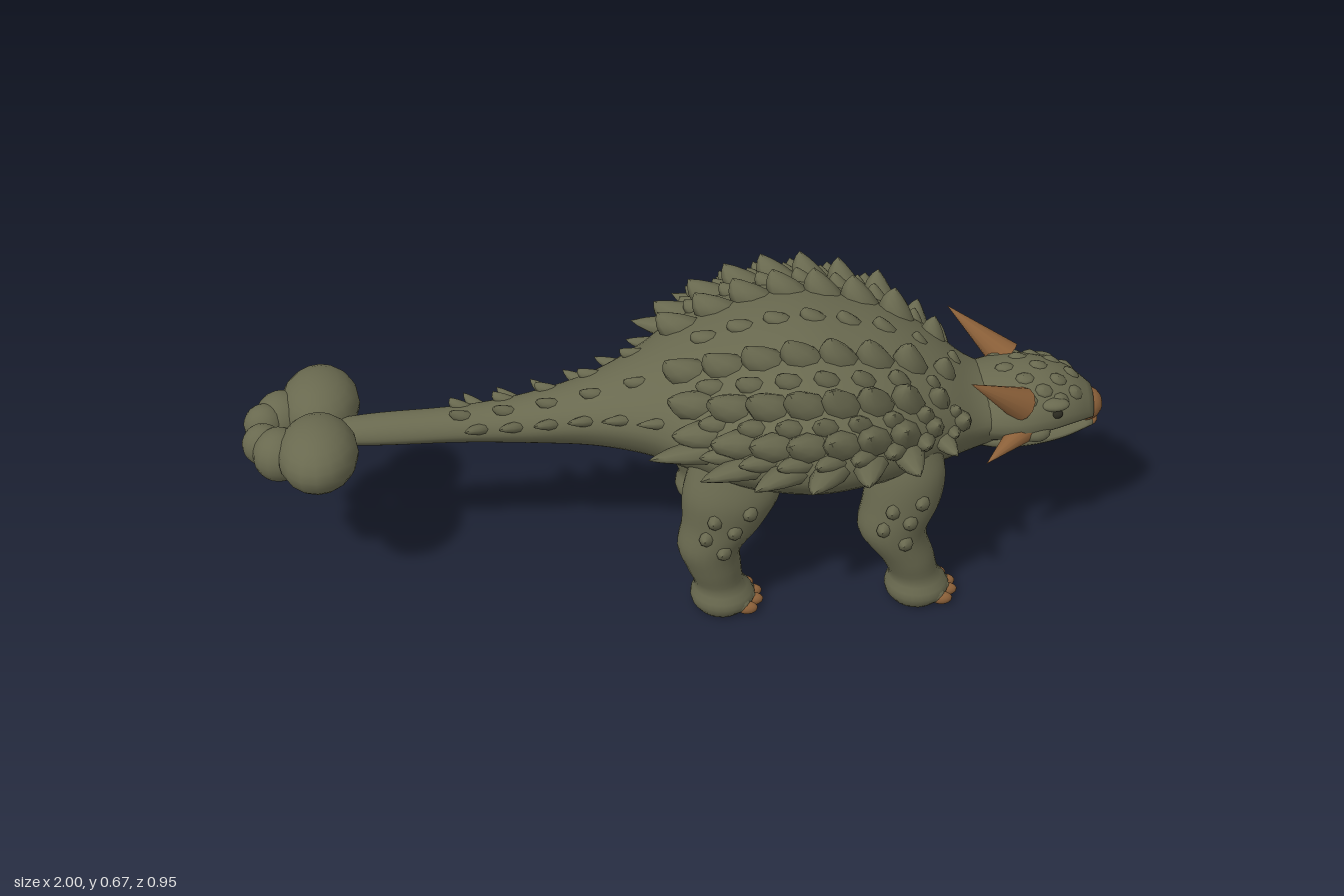
import * as THREE from 'three';
import { mergeGeometries, mergeVertices } from 'three/addons/utils/BufferGeometryUtils.js';

const V = (x, y, z) => new THREE.Vector3(x, y, z);

// Cross-sections along the length: x, widest height, top, bottom, half width
const BODY = [
  [-0.85, .375, .40, .35, .03], [-0.7, .375, .415, .345, .045], [-0.5, .38, .425, .342, .05],
  [-0.35, .39, .445, .335, .068], [-0.2, .41, .485, .325, .10], [-0.08, .43, .535, .31, .165],
  [0, .44, .57, .30, .245], [.1, .44, .605, .285, .33], [.2, .44, .63, .275, .37],
  [.3, .44, .637, .265, .38], [.4, .44, .62, .265, .355], [.5, .43, .59, .265, .30],
  [.6, .41, .535, .268, .215], [.68, .39, .475, .275, .145], [.76, .38, .44, .30, .11]];
const HEAD = [
  [.62, .38, .44, .31, .08], [.70, .38, .462, .30, .125], [.78, .38, .475, .315, .14],
  [.85, .38, .474, .328, .125], [.92, .375, .45, .335, .09], [.97, .36, .41, .335, .05]];
const JAW = [
  [.67, .32, .35, .285, .07], [.74, .32, .36, .283, .10], [.82, .32, .35, .29, .10],
  [.90, .32, .34, .296, .075], [.975, .325, .336, .31, .036]];
// Leg rings from the ground up: y, centre x, centre z, radius x, radius z
const HIND_LEG = [
  [0, .085, .22, .058, .062], [.02, .088, .22, .075, .075], [.045, .085, .22, .07, .073],
  [.065, .08, .222, .058, .06], [.12, .065, .225, .064, .067], [.18, .055, .23, .074, .071],
  [.25, .085, .23, .094, .075], [.33, .105, .225, .112, .083], [.42, .11, .21, .09, .07]];
const FRONT_LEG = [
  [0, .54, .22, .058, .062], [.02, .543, .22, .075, .075], [.045, .54, .22, .07, .073],
  [.065, .535, .222, .058, .06], [.12, .515, .224, .063, .067], [.2, .477, .228, .079, .073],
  [.28, .495, .225, .09, .077], [.36, .505, .215, .088, .08], [.43, .5, .2, .07, .07]];

// Smooth interpolation of a section table by its first column
function sectionAt(table, x) {
  let i = 0;
  while (i < table.length - 2 && x > table[i + 1][0]) i++;
  const a = table[i], b = table[i + 1], h = b[0] - a[0], t = (x - a[0]) / h;
  const p = table[i - 1] ?? a, n = table[i + 2] ?? b;
  return a.map((v, k) => {
    const m0 = (b[k] - p[k]) / (b[0] - p[0]) * h, m1 = (n[k] - v) / (n[0] - a[0]) * h;
    return v * (2 * t ** 3 - 3 * t * t + 1) + m0 * (t ** 3 - 2 * t * t + t)
      + b[k] * (3 * t * t - 2 * t ** 3) + m1 * (t ** 3 - t * t);
  });
}

// Point on a lengthwise part; angle 0 is the left flank, PI/2 the spine
function skin(table, x, a) {
  const [, mid, top, bot, w] = sectionAt(table, x), s = Math.sin(a);
  const pinch = s < 0 ? 1 + 0.18 * s : 1;
  return V(x, mid + s * (s > 0 ? top - mid : mid - bot), w * Math.cos(a) * pinch);
}

function legPoint(table, y, a) {
  const [, cx, cz, rx, rz] = sectionAt(table, y);
  return V(cx + rx * Math.cos(a), y, cz + rz * Math.sin(a));
}

// Closed tube through rings of surface points
function loft(table, point, rings, sides) {
  const pos = [], idx = [], from = table[0][0], to = table.at(-1)[0];
  const ends = [V(0, 0, 0), V(0, 0, 0)];
  for (let i = 0; i <= rings; i++) for (let j = 0; j < sides; j++) {
    const p = point(table, from + (to - from) * i / rings, j / sides * Math.PI * 2);
    pos.push(p.x, p.y, p.z);
    if (i === 0) ends[0].addScaledVector(p, 1 / sides);
    if (i === rings) ends[1].addScaledVector(p, 1 / sides);
  }
  ends.forEach(p => pos.push(p.x, p.y, p.z));
  const c = (rings + 1) * sides, last = rings * sides;
  for (let j = 0; j < sides; j++) {
    const k = (j + 1) % sides;
    for (let i = 0; i < rings; i++) {
      const a = i * sides + j, b = a + sides, d = i * sides + k, e = d + sides;
      idx.push(a, b, d, b, e, d);
    }
    idx.push(c, j, k, c + 1, last + k, last + j);
  }
  const g = new THREE.BufferGeometry();
  g.setAttribute('position', new THREE.Float32BufferAttribute(pos, 3));
  g.setIndex(idx);
  g.computeVertexNormals();
  return g;
}

// Unit armour scute, welded so it shades smoothly
function unitScute() {
  const profile = [[.9, -.3], [1, 0], [.72, .42], [.36, .76], [.001, 1]].map(p => new THREE.Vector2(...p));
  const g = new THREE.LatheGeometry(profile, 8);
  g.deleteAttribute('uv');
  g.deleteAttribute('normal');
  return mergeVertices(g, 1e-3);
}
const SCUTE = unitScute();

// Scute standing on a surface, its point swept toward the tail
function scute(p, n, len, width, height, lean) {
  const back = V(-1, 0, 0).addScaledVector(n, n.x).normalize();
  const side = back.clone().cross(n);
  const m = new THREE.Matrix4().makeBasis(back.clone().multiplyScalar(len),
    n.clone().multiplyScalar(height).addScaledVector(back, lean), side.multiplyScalar(width));
  const g = SCUTE.clone().applyMatrix4(m.setPosition(p));
  g.computeVertexNormals();
  return g;
}

function skinScute(table, x, deg, ...size) {
  const a = deg * Math.PI / 180, e = .01, p = skin(table, x, a);
  const n = skin(table, x + e, a).sub(skin(table, x - e, a))
    .cross(skin(table, x, a + e).sub(skin(table, x, a - e))).normalize();
  return scute(p, n, ...size);
}

function ball(p, rx, ry, rz) {
  return new THREE.SphereGeometry(1, 16, 12).scale(rx, ry, rz).translate(p.x, p.y, p.z);
}

function horn(base, tip, r) {
  const d = tip.clone().sub(base), len = d.length();
  const g = new THREE.ConeGeometry(r, len, 12).translate(0, len / 2, 0);
  g.applyQuaternion(new THREE.Quaternion().setFromUnitVectors(V(0, 1, 0), d.normalize()));
  return g.translate(base.x, base.y, base.z);
}

export function createModel() {
  const model = new THREE.Group();
  const mat = (name, color) => Object.assign(new THREE.MeshStandardMaterial({ color }), { name });
  const hide = mat('olive hide', 0x69694f), keratin = mat('brown horn', 0x8b6039);
  const dark = mat('dark eye', 0x2b2a20);
  const add = (name, geo, material) => {
    const mesh = new THREE.Mesh(Array.isArray(geo) ? mergeGeometries(geo) : geo, material);
    mesh.name = name;
    model.add(mesh);
  };

  add('bodyAndTail', loft(BODY, skin, 80, 40), hide);
  add('head', loft(HEAD, skin, 24, 28), hide);
  add('lowerJaw', loft(JAW, skin, 16, 24), hide);

  // Armour rows: angle up the flank, first x, last x, spacing, length, width, height, sweep
  const rows = [
    [90, .06, .66, .083, .03, .022, .022, .02],
    [68, .01, .62, .085, .047, .034, .052, .03],
    [56, .06, .64, .085, .03, .022, .03, .02],
    [44, .02, .63, .08, .047, .036, .058, .035],
    [33, .06, .64, .08, .03, .022, .034, .02],
    [23, .03, .64, .076, .045, .034, .055, .04],
    [13, .08, .66, .076, .034, .022, .045, .04],
    [6, .02, .6, .095, .045, .026, .095, .06],
    [66, -.5, -.08, .1, .024, .014, .022, .02],
    [22, -.46, -.05, .08, .022, .013, .04, .028]];
  const armour = [];
  for (const [deg, from, to, step, ...size] of rows)
    for (let x = from; x <= to; x += step) {
      const fit = x > .55 ? .72 : 1;
      for (const d of deg === 90 ? [90] : [deg, 180 - deg])
        armour.push(skinScute(BODY, x, d, ...size.map(v => v * fit)));
    }
  add('backArmour', armour, hide);

  // Small plates over the skull and brow
  const plates = [];
  for (const [x, degs] of [[.76, [50, 90]], [.80, [42, 70]], [.84, [52, 90]], [.88, [38, 68]], [.92, [50, 90]]])
    for (const deg of degs) for (const d of deg === 90 ? [90] : [deg, 180 - deg])
      plates.push(skinScute(HEAD, x, d, .022, .018, .009, .004));
  add('skullPlates', plates, hide);

  const horns = [], eyes = [], brows = [], nails = [], bumps = [], club = [];
  for (const s of [1, -1]) {
    horns.push(horn(V(.785, .435, .1 * s), V(.65, .542, .168 * s), .04));
    horns.push(horn(V(.79, .37, .11 * s), V(.695, .333, .187 * s), .032));
    eyes.push(ball(V(.868, .408, .108 * s), .014, .011, .011));
    brows.push(ball(V(.862, .428, .098 * s), .036, .014, .022));
    brows.push(ball(V(.82, .365, .115 * s), .035, .022, .025));
    // Tail club lobes
    club.push(ball(V(-.825, .39, .1 * s), .092, .077, .122));
    club.push(ball(V(-.915, .375, .075 * s), .06, .062, .065));
    club.push(ball(V(-.952, .38, .04 * s), .048, .05, .045));

    for (const [name, table] of [['hindLeg', HIND_LEG], ['frontLeg', FRONT_LEG]]) {
      const point = (t, y, a) => {
        const p = legPoint(t, y, s * a);
        p.z *= s;
        return p;
      };
      add((s > 0 ? 'left ' : 'right ') + name, loft(table, point, 30, 24), hide);
      // Four toes and nails fanned across the foot
      const toes = [];
      for (let i = 0; i < 4; i++) {
        const u = (i - 1.5) / 1.5, x = table[0][1] + .066 - .018 * u * u, z = (.22 + u * .045) * s;
        toes.push(ball(V(x - .012, .022, z), .028, .02, .018));
        nails.push(ball(V(x + .008, .015, z + u * .004 * s), .024, .015, .015));
      }
      add(name + 'Toes', toes, hide);
      // Knobs on the outer thigh and shoulder
      for (const [y, a] of [[.2, 75], [.24, 115], [.26, 80], [.29, 110], [.31, 70]]) {
        const p = point(table, y, s > 0 ? a * Math.PI / 180 : -a * Math.PI / 180);
        p.z = Math.abs(p.z) * s;
        bumps.push(scute(p, V(0, .15, s).normalize(), .018, .02, .016, .006));
      }
    }
  }
  add('horns', horns, keratin);
  add('eyes', eyes, dark);
  add('browsAndCheeks', brows, hide);
  add('toeNails', nails, keratin);
  add('legKnobs', bumps, hide);
  add('tailClub', club, hide);
  add('beak', [ball(V(.96, .362, 0), .04, .04, .044), ball(V(.962, .322, 0), .03, .014, .034)], keratin);
  return model;
}
